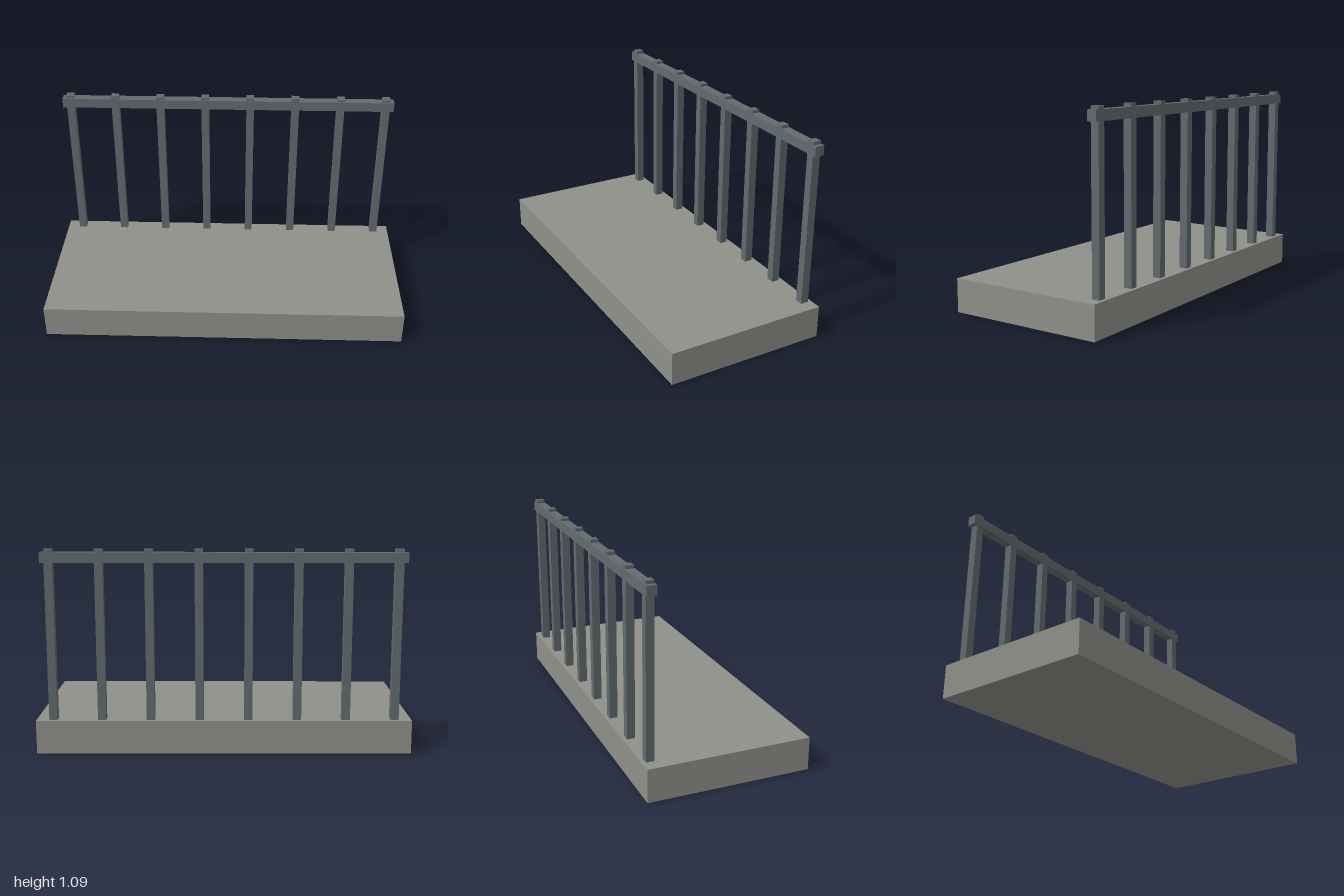
import * as THREE from 'three';

export function createModel() {
  const model = new THREE.Group();
  const stone = new THREE.MeshStandardMaterial({ color: 0x90908a });
  const metal = new THREE.MeshStandardMaterial({ color: 0x626b6e });

  const addBox = (name, material, [w, h, d], [x, y, z]) => {
    const mesh = new THREE.Mesh(new THREE.BoxGeometry(w, h, d), material);
    mesh.name = name;
    mesh.position.set(x, y, z);
    model.add(mesh);
  };

  // Walkway slab
  const slabTop = 0.18;
  addBox('slab', stone, [2, slabTop, 0.884], [0, slabTop / 2, 0]);

  // Railing along the back edge: evenly spaced posts poking through a top rail
  const railZ = -0.4, postTop = 1.09, postCount = 8, halfSpan = 0.91;
  for (let i = 0; i < postCount; i++) {
    const x = -halfSpan + (2 * halfSpan * i) / (postCount - 1);
    addBox('post', metal, [0.044, postTop - slabTop, 0.044], [x, (postTop + slabTop) / 2, railZ]);
  }
  addBox('topRail', metal, [1.908, 0.054, 0.052], [0, 1.046, railZ]);

  return model;
}
